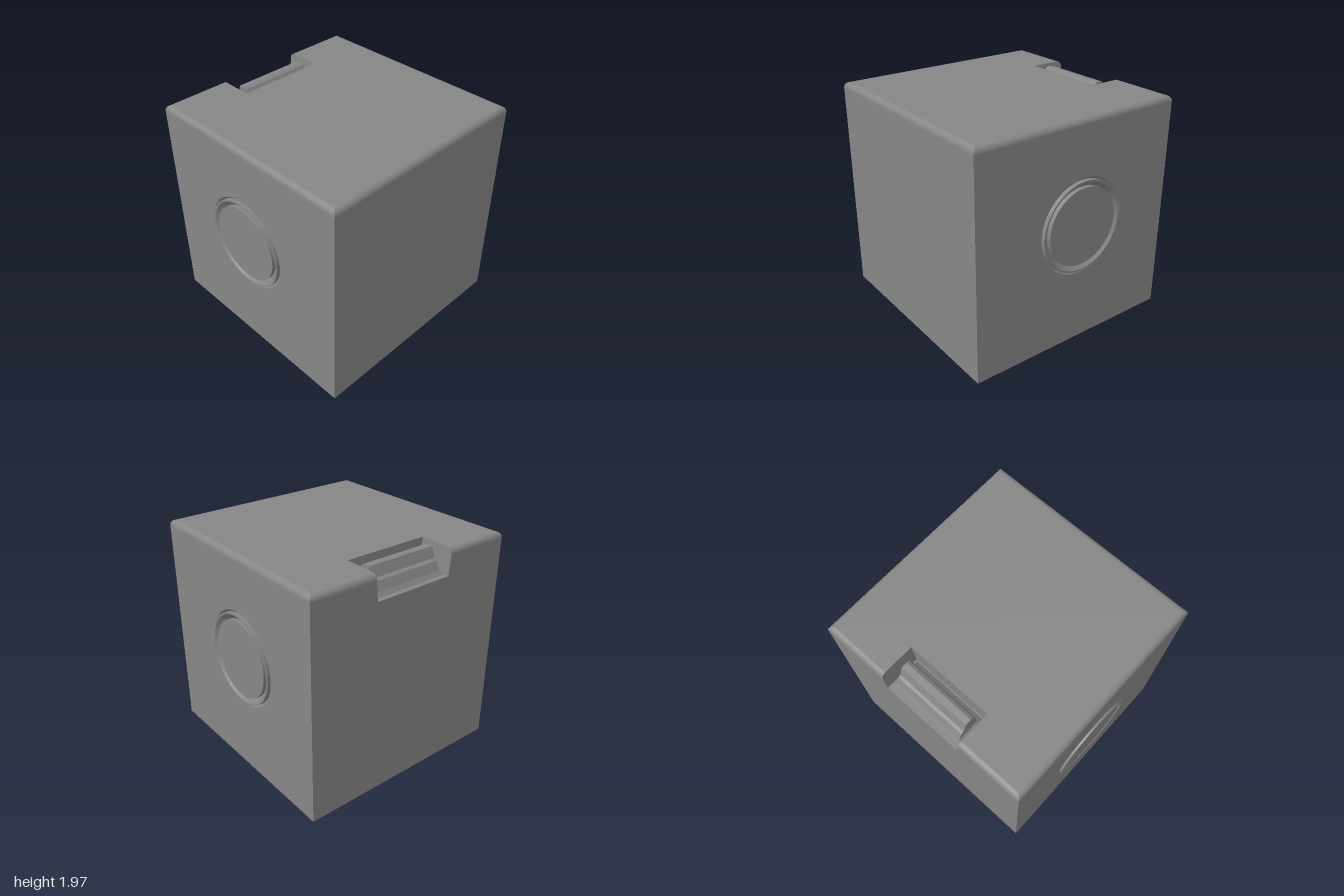
import * as THREE from 'three';
import { toCreasedNormals } from 'three/addons/utils/BufferGeometryUtils.js';

const H = 0.983, TOP = 1.967, R = 0.05;         // half width, height, top edge radius
const FLOOR = 1.74, NZ = -0.665;                // notch floor and front wall
const RING_Y = 1.06, RING_Z = -0.045, RING_R = 0.42;

const material = new THREE.MeshStandardMaterial({ color: 0x868686, side: THREE.DoubleSide });

// Half width of the notch, flaring slightly towards the top
const notchX = (y) => 0.37 + 0.02 * (y - FLOOR) / (TOP - FLOOR);

function add(parent, name, geometry) {
  const mesh = new THREE.Mesh(geometry, material);
  mesh.name = name;
  parent.add(mesh);
}

const outline = (points) => new THREE.Shape(points.map(([x, y]) => new THREE.Vector2(x, y)));
const rect = (x0, y0, x1, y1) => outline([[x0, y0], [x1, y0], [x1, y1], [x0, y1]]);
const face = (shape) => new THREE.ShapeGeometry(shape, 32);

// Quarter-round strip along a top edge, mitred at the corners
function fillet(start, end, turn) {
  const g = new THREE.PlaneGeometry(1, 1, 1, 8);
  const p = g.attributes.position;
  for (let i = 0; i < p.count; i++) {
    const a = (p.getY(i) + 0.5) * Math.PI / 2;
    const h = H - R + R * Math.cos(a);
    const y = TOP - R + R * Math.sin(a);
    p.setXYZ(i, p.getX(i) < 0 ? start(h, y) : end(h, y), y, h);
  }
  g.computeVertexNormals();
  return g.rotateY(turn * Math.PI / 2);
}

function createBody() {
  const body = new THREE.Group();
  body.name = 'body';
  const wall = TOP - R, lid = H - R;
  const low = notchX(FLOOR), mid = notchX(wall), high = notchX(TOP);

  add(body, 'frontWall', face(rect(-H, 0, H, wall)).translate(0, 0, H));
  add(body, 'base', face(rect(-H, -H, H, H)).rotateX(Math.PI / 2));
  add(body, 'backWall', face(outline([
    [-H, 0], [H, 0], [H, wall], [mid, wall], [low, FLOOR], [-low, FLOOR], [-mid, wall], [-H, wall],
  ])).rotateY(Math.PI).translate(0, 0, -H));
  add(body, 'lid', face(outline([
    [-lid, -lid], [lid, -lid], [lid, lid], [high, lid],
    [high, -NZ], [-high, -NZ], [-high, lid], [-lid, lid],
  ])).rotateX(-Math.PI / 2).translate(0, TOP, 0));

  // Side walls, open behind the round buttons
  for (const s of [1, -1]) {
    const shape = rect(-H, 0, H, wall);
    const hole = new THREE.Path();
    hole.absarc(-s * RING_Z, RING_Y, RING_R, 0, Math.PI * 2, true);
    shape.holes.push(hole);
    add(body, s > 0 ? 'leftWall' : 'rightWall',
      face(shape).rotateY(s * Math.PI / 2).translate(s * H, 0, 0));
  }

  // Rounded top edges, interrupted by the notch at the back
  for (const turn of [0, 1, 3]) add(body, 'roundedEdge', fillet((h) => -h, (h) => h, turn));
  add(body, 'roundedEdge', fillet((h) => -h, (h, y) => -notchX(y), 2));
  add(body, 'roundedEdge', fillet((h, y) => notchX(y), (h) => h, 2));
  return body;
}

function createNotch() {
  const notch = new THREE.Group();
  notch.name = 'notch';
  const low = notchX(FLOOR), high = notchX(TOP);
  add(notch, 'notchFloor',
    face(rect(-low, -NZ, low, H)).rotateX(-Math.PI / 2).translate(0, FLOOR, 0));
  add(notch, 'notchFrontWall',
    face(outline([[-low, FLOOR], [low, FLOOR], [high, TOP], [-high, TOP]]))
      .rotateY(Math.PI).translate(0, 0, NZ));
  for (const s of [1, -1]) {
    const shape = outline([[-H, FLOOR], [NZ, FLOOR], [NZ, TOP], [R - H, TOP]]);
    shape.absarc(R - H, TOP - R, R, Math.PI / 2, Math.PI, false);
    const g = face(shape).rotateY(-Math.PI / 2);
    const p = g.attributes.position;
    for (let i = 0; i < p.count; i++) p.setX(i, s * notchX(p.getY(i)));
    g.computeVertexNormals();
    add(notch, 'notchSideWall', g);
  }
  return notch;
}

function createCatch() {
  const group = new THREE.Group();
  group.name = 'catch';

  // Bevelled foot: a box whose top is drawn in
  const foot = new THREE.BoxGeometry(1, 1, 1).toNonIndexed();
  const p = foot.attributes.position;
  for (let i = 0; i < p.count; i++) {
    const up = p.getY(i) > 0, back = p.getZ(i) < 0;
    p.setXYZ(i, Math.sign(p.getX(i)) * (up ? 0.33 : 0.36), up ? 1.775 : FLOOR,
      back ? (up ? -0.915 : -0.94) : (up ? -0.72 : -0.675));
  }
  foot.computeVertexNormals();
  add(group, 'catchFoot', foot);

  // Stepped grip bar, leaning forward
  const profile = outline([
    [-0.915, 1.775], [-0.885, 1.85], [-0.86, 1.865], [-0.83, 1.955],
    [-0.775, 1.96], [-0.75, 1.945], [-0.735, 1.92], [-0.72, 1.775],
  ]);
  const bar = new THREE.ExtrudeGeometry(profile, { depth: 0.66, bevelEnabled: false });
  add(group, 'catchBar', bar.rotateY(-Math.PI / 2).translate(0.33, 0, 0));
  return group;
}

// Round button: chamfered groove, raised rim, inner groove, flat cap
function createSideButton(s) {
  const rim = 1 - H;
  const profile = [
    [RING_R, 0], [0.4, -0.02], [0.4, rim], [0.385, rim], [0.38, 0.012],
    [0.34, -0.025], [0.34, 0.012], [0, 0.012],
  ].map(([r, h]) => new THREE.Vector2(r, h));
  const g = toCreasedNormals(new THREE.LatheGeometry(profile, 64), 0.4);
  return g.rotateZ(-s * Math.PI / 2).translate(s * H, RING_Y, RING_Z);
}

export function createModel() {
  const model = new THREE.Group();
  model.name = 'box';
  model.add(createBody(), createNotch(), createCatch());
  add(model, 'leftButton', createSideButton(1));
  add(model, 'rightButton', createSideButton(-1));
  return model;
}
